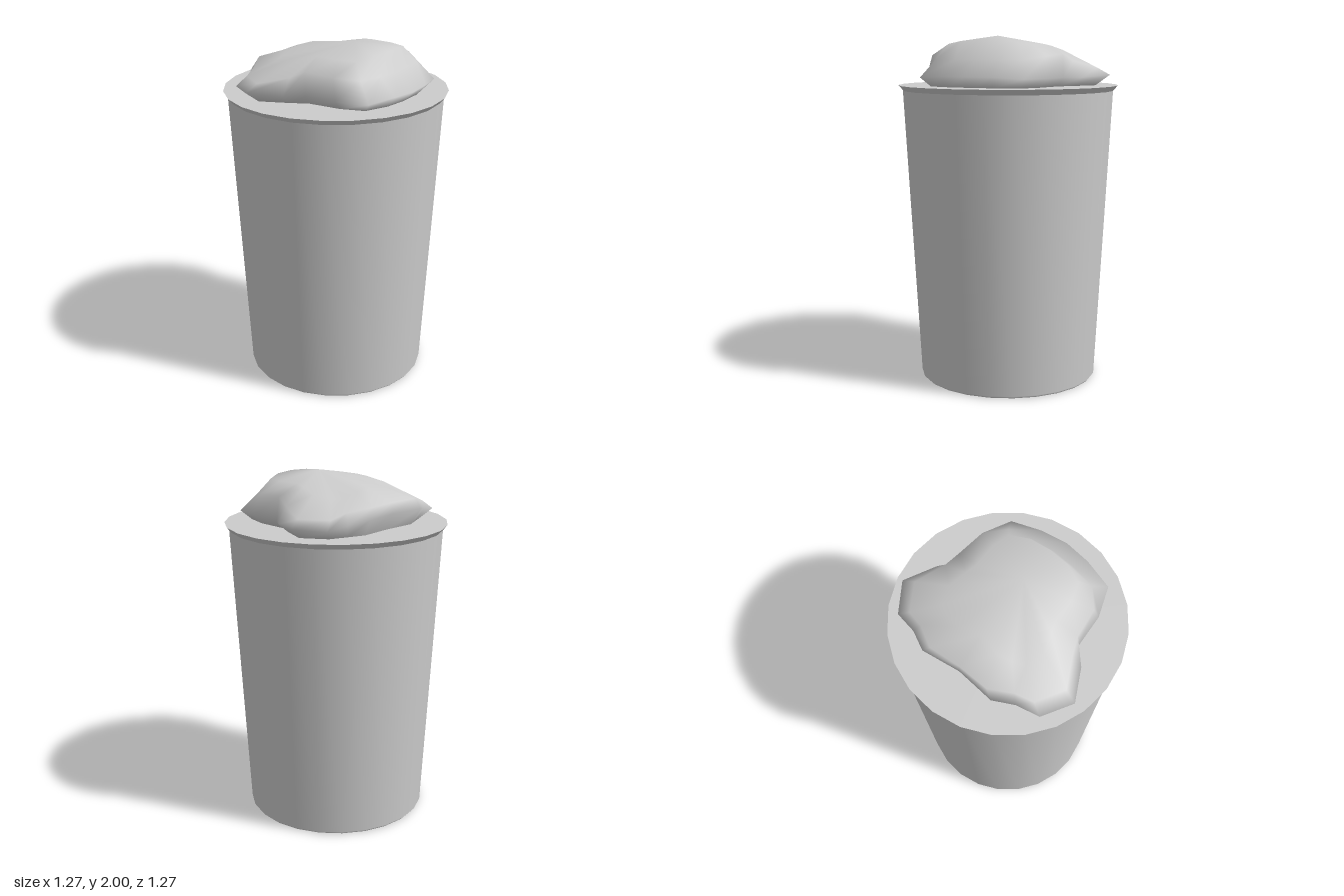
import * as THREE from 'three';

const SIDES = 24;
const TOP = 1.72;

// Half cross-sections of the filling [x, y, z], from +x round to -x, mirrored in z
const BASE = [[.46, TOP, 0], [.45, TOP, .14], [.4, TOP, .28], [.27, TOP, .33], [.08, TOP, .35], [0, TOP, .4],
  [-.16, TOP, .48], [-.3, TOP, .4], [-.34, TOP, .3], [-.38, TOP, .2], [-.37, TOP, 0]];
const RIM = [[.52, 1.78, 0], [.5, 1.78, .15], [.45, 1.77, .32], [.28, 1.77, .38], [.09, 1.77, .39], [0, 1.77, .47],
  [-.18, 1.78, .56], [-.34, 1.77, .46], [-.37, 1.79, .33], [-.43, 1.81, .22], [-.405, 1.81, 0]];
const SHOULDER = [[.4, 1.87, 0], [.39, 1.87, .13], [.36, 1.87, .27], [.25, 1.89, .36], [.08, 1.9, .38], [0, 1.86, .41],
  [-.16, 1.82, .49], [-.31, 1.82, .4], [-.34, 1.85, .3], [-.41, 1.87, .18], [-.4, 1.87, 0]];
const CROWN = [[.35, 1.975, 0], [.34, 1.97, .12], [.3, 1.955, .22], [.2, 1.955, .25], [.06, 1.955, .25], [0, 1.945, .27],
  [-.1, 1.92, .3], [-.2, 1.9, .27], [-.23, 1.9, .2], [-.25, 1.925, .12], [-.22, 1.94, 0]];

function mirrorRing(half) {
  const back = half.slice(1, -1).reverse().map(([x, y, z]) => [x, y, -z]);
  return [...half, ...back];
}

// Skin stacked rings and close them with a peak
function loft(halves, peak) {
  const rings = halves.map(mirrorRing);
  const n = rings[0].length;
  const index = [];
  for (let r = 0; r < rings.length; r++) {
    for (let i = 0; i < n; i++) {
      const a = r * n + i, b = r * n + (i + 1) % n;
      if (r === rings.length - 1) index.push(a, rings.length * n, b);
      else index.push(a, a + n, b, b, a + n, b + n);
    }
  }
  const geo = new THREE.BufferGeometry();
  geo.setAttribute('position', new THREE.Float32BufferAttribute([...rings.flat(2), ...peak], 3));
  geo.setIndex(index);
  geo.computeVertexNormals();
  return geo;
}

export function createModel() {
  const group = new THREE.Group();
  const grey = new THREE.MeshStandardMaterial({ color: 0xcccccc });
  grey.name = 'light grey';

  const add = (name, geometry) => {
    const mesh = new THREE.Mesh(geometry, grey);
    mesh.name = name;
    group.add(mesh);
    return mesh;
  };

  // Tapered wall, with a flared lip on top
  const lathe = pts => new THREE.LatheGeometry(pts.map(p => new THREE.Vector2(...p)), SIDES);
  add('cupWall', lathe([[.51, 0], [.52, .012], [.61, 1.69]]));
  add('cupLip', lathe([[.61, 1.69], [.618, 1.7], [.635, TOP]]));

  // Flat closing discs
  const base = add('cupBase', new THREE.CircleGeometry(.51, SIDES));
  base.rotation.x = Math.PI / 2;
  const surface = add('cupTop', new THREE.CircleGeometry(.635, SIDES));
  surface.rotation.x = -Math.PI / 2;
  surface.position.y = TOP;

  // Lumpy heap resting on the top
  add('filling', loft([BASE, RIM, SHOULDER, CROWN], [.13, 2, 0]));

  return group;
}
